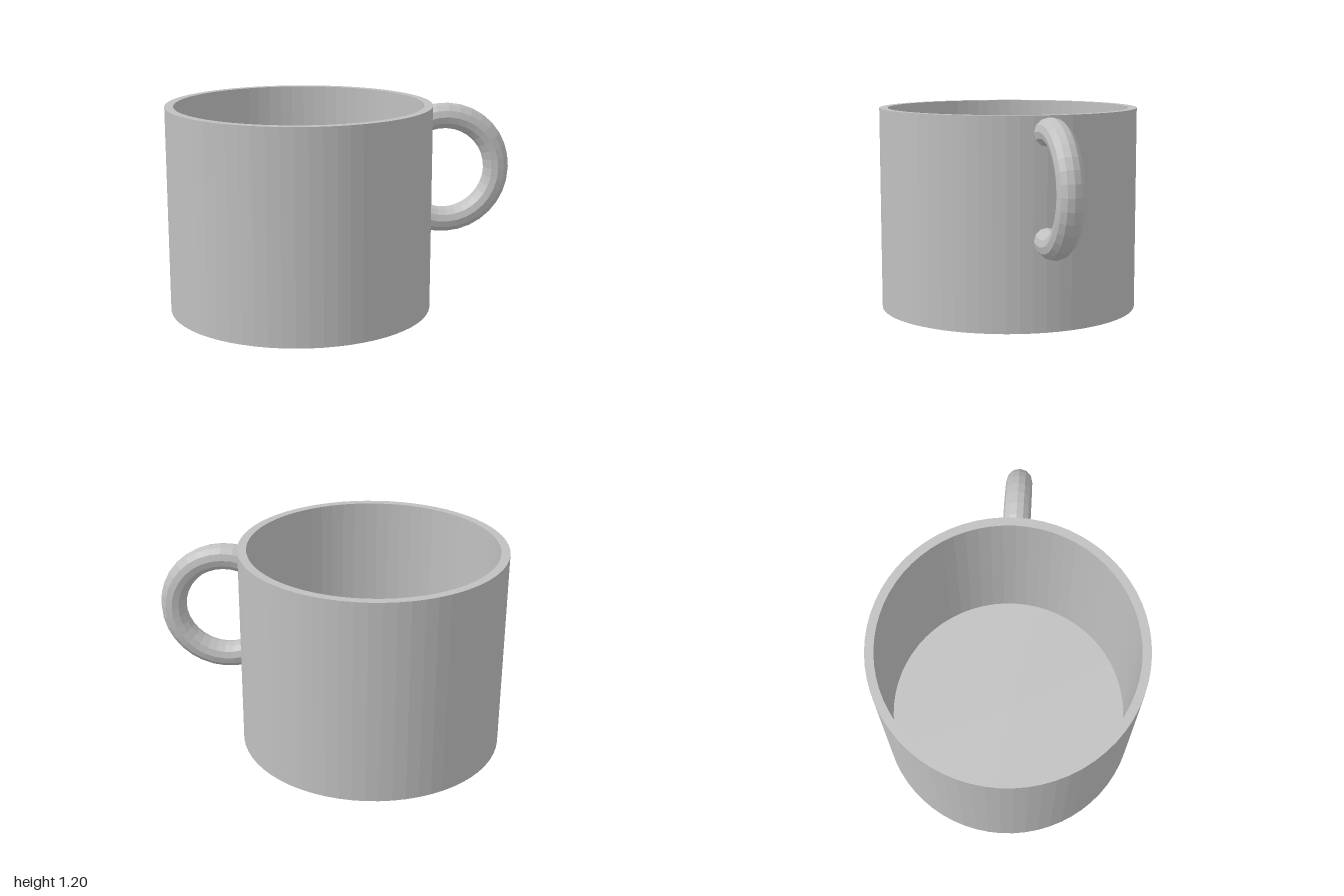
import * as THREE from 'three';

export function createModel() {
  const group = new THREE.Group();
  const grey = new THREE.MeshStandardMaterial({ color: 0xc0c0c0 });
  grey.name = 'grey';
  grey.flatShading = true;

  // Hollow cup: bottom, outer wall, rim, inner wall and inner floor
  const R = 0.767, r = 0.717, H = 1.2, floor = 0.05;
  const profile = [[0, 0], [R, 0], [R, H], [r, H], [r, floor], [0, floor]]
    .map(([x, y]) => new THREE.Vector2(x, y));
  const cup = new THREE.Mesh(new THREE.LatheGeometry(profile, 64), grey);
  cup.name = 'cup';
  cup.position.x = -0.233;
  group.add(cup);

  // Ring handle, its two ends sunk into the cup wall
  const half = Math.PI / 2 + 0.34;
  const handle = new THREE.Mesh(new THREE.TorusGeometry(0.31, 0.075, 12, 20, 2 * half), grey);
  handle.name = 'handle';
  handle.rotation.z = -half;
  handle.position.set(0.615, 0.81, 0);
  group.add(handle);

  return group;
}
